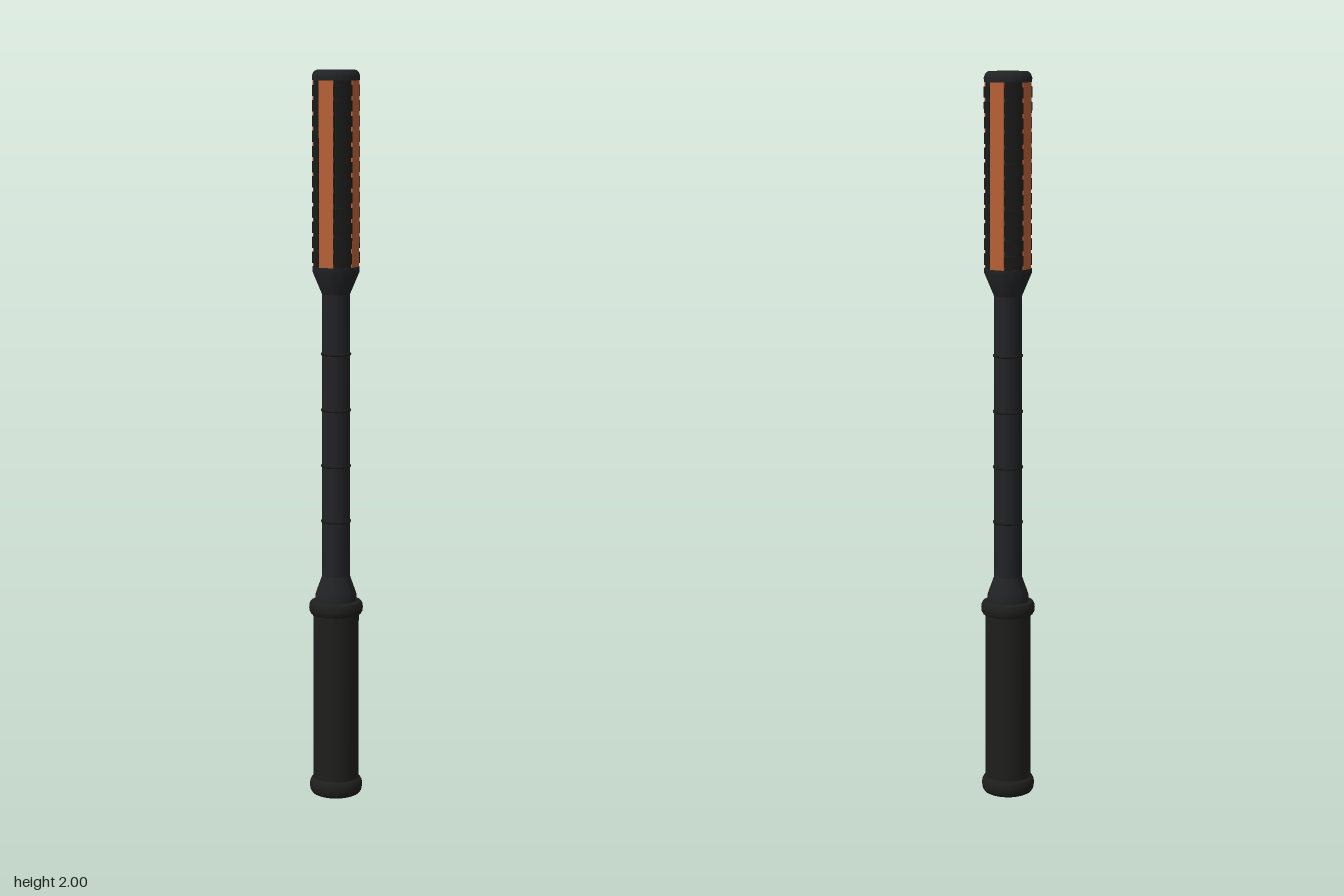
import * as THREE from 'three';
import { toCreasedNormals } from 'three/addons/utils/BufferGeometryUtils.js';

const mat = (name, color, side = THREE.FrontSide) => {
  const m = new THREE.MeshStandardMaterial({ color, side });
  m.name = name;
  return m;
};

export function createModel() {
  const group = new THREE.Group();
  const metal = mat('dark metal', 0x212224);
  const rubber = mat('black rubber', 0x1e1e1d);
  const ribbed = mat('rib black', 0x1a1a19);
  const orange = mat('burnt orange', 0xb96036);

  const add = (name, geo, material, parent = group) => {
    const mesh = new THREE.Mesh(geo, material);
    mesh.name = name;
    parent.add(mesh);
    return mesh;
  };
  // Turned part from [radius, height] pairs, bottom to top
  const turned = (name, points, material) => add(name, toCreasedNormals(
    new THREE.LatheGeometry(points.map(([r, y]) => new THREE.Vector2(r, y)), 48), 0.6), material);

  // Handle with rounded pommel
  turned('pommel', [[0, 0], [0.058, 0], [0.066, 0.004], [0.071, 0.012], [0.073, 0.024],
    [0.072, 0.036], [0.068, 0.044], [0.062, 0.048]], rubber);
  turned('grip', [[0.062, 0.04], [0.063, 0.06], [0.063, 0.52]], rubber);
  turned('guardRing', [[0.061, 0.513], [0.069, 0.516], [0.073, 0.523], [0.0742, 0.533],
    [0.073, 0.543], [0.069, 0.55], [0.056, 0.553]], rubber);
  turned('handleCollar', [[0.057, 0.55], [0.057, 0.567], [0.053, 0.58], [0.038, 0.622]], metal);

  // Shaft with thin raised bands
  turned('shaft', [[0.038, 0.61], [0.038, 1.41]], metal);
  for (let i = 0; i < 4; i++) {
    const band = add('shaftBand', new THREE.TorusGeometry(0.038, 0.0035, 8, 48), ribbed);
    band.rotation.x = Math.PI / 2;
    band.position.y = 0.775 + i * 0.154;
  }

  // Head: flared base, core and chamfered cap
  turned('headBase', [[0.038, 1.4], [0.064, 1.462], [0.064, 1.475], [0.05, 1.475]], metal);
  turned('headCore', [[0.054, 1.46], [0.054, 1.98]], ribbed);
  turned('headCap', [[0.05, 1.972], [0.064, 1.972], [0.0645, 1.983], [0.061, 1.993],
    [0.054, 1.999], [0, 2]], metal);

  // Curved block between two strips, standing on y = 0
  const sector = (inner, outer, height) => {
    const a = THREE.MathUtils.degToRad(20.5), b = Math.PI / 2 - a;
    const s = new THREE.Shape();
    s.absarc(0, 0, outer, a, b, false);
    s.absarc(0, 0, inner, b, a, true);
    s.closePath();
    const g = new THREE.ExtrudeGeometry(s, { depth: height, bevelEnabled: false, curveSegments: 8 });
    return toCreasedNormals(g.rotateX(-Math.PI / 2), 0.6);
  };
  const backing = sector(0.05, 0.06, 0.5);
  const rib = sector(0.05, 0.0645, 0.029);

  // Orange strip with a clipped lower end
  const strip = new THREE.Shape([[-0.021, 1.476], [-0.011, 1.464], [0.011, 1.464],
    [0.021, 1.476], [0.021, 1.975], [-0.021, 1.975]].map(([x, y]) => new THREE.Vector2(x, y)));
  const stripGeo = new THREE.ExtrudeGeometry(strip, { depth: 0.009, bevelEnabled: false });
  stripGeo.translate(0, 0, 0.0505);

  for (let q = 0; q < 4; q++) {
    const side = new THREE.Group();
    side.name = 'headSide';
    side.rotation.y = q * Math.PI / 2;
    group.add(side);
    add('orangeStrip', stripGeo, orange, side);
    add('ribBacking', backing, ribbed, side).position.y = 1.473;
    for (let i = 0; i < 12; i++) add('rib', rib, ribbed, side).position.y = 1.485 + i * 0.0405;
  }
  return group;
}
